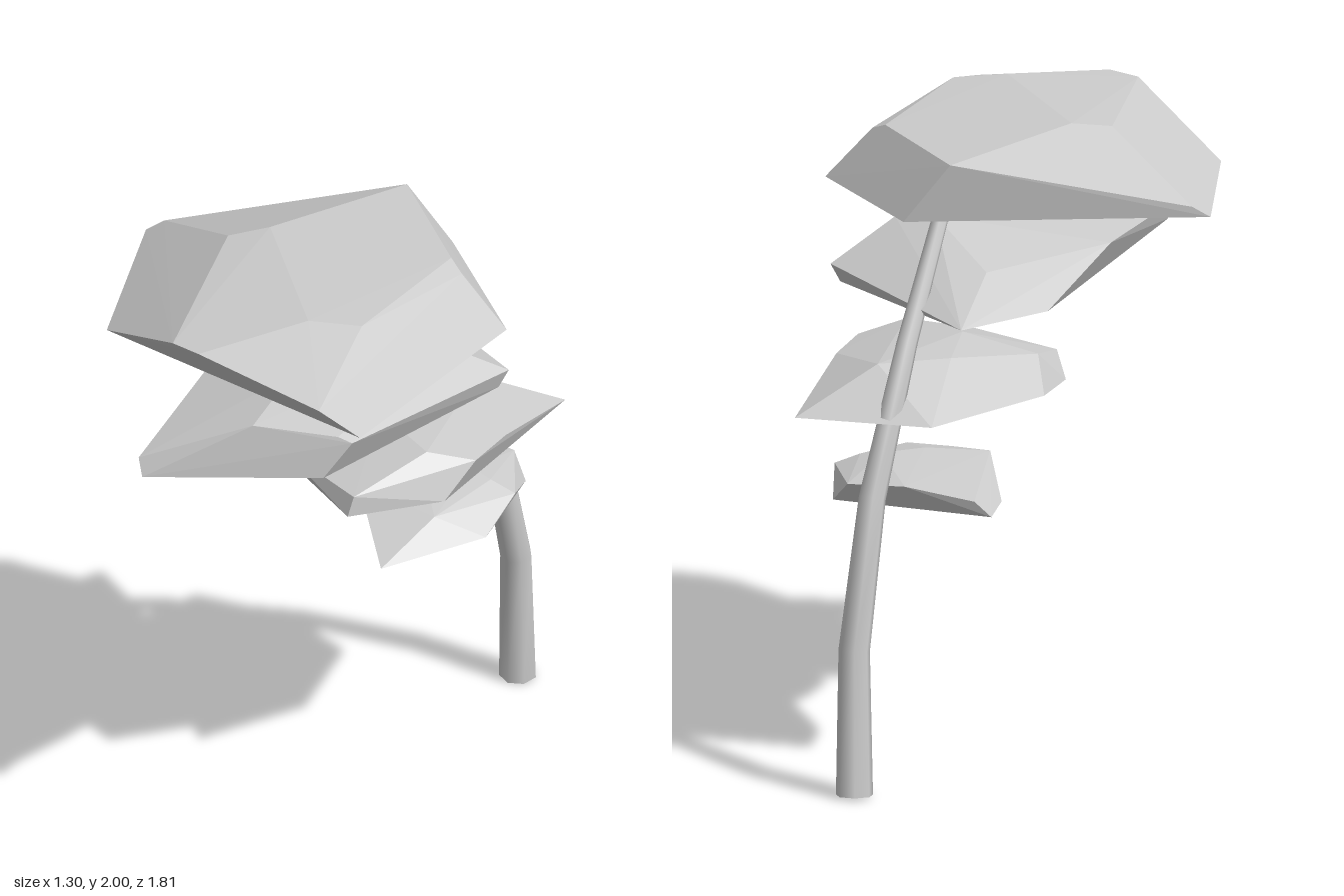
import * as THREE from 'three';
import { ConvexGeometry } from 'three/addons/geometries/ConvexGeometry.js';
import { toCreasedNormals } from 'three/addons/utils/BufferGeometryUtils.js';

const grey = new THREE.MeshStandardMaterial({ color: 0xcccccc });
const facetedGrey = new THREE.MeshStandardMaterial({ color: 0xcccccc, flatShading: true });

// Faceted foliage pad: flat base outline [x, z] at height y, plus upper corners [x, y, z]
function foliagePad(name, y, base, upper) {
  const points = base.map(([x, z]) => new THREE.Vector3(x, y, z));
  upper.forEach((p) => points.push(new THREE.Vector3(...p)));
  const mesh = new THREE.Mesh(new ConvexGeometry(points), facetedGrey);
  mesh.name = name;
  return mesh;
}

// Bent, tapering trunk: each cylinder ring is moved onto a station [x, y, z, radius]
function trunk() {
  const stations = [
    [0.175, 0.008, -0.85, 0.06],
    [0.195, 0.47, -0.81, 0.051],
    [0.188, 0.94, -0.692, 0.044],
    [0.165, 1.4, -0.485, 0.034],
    [0.16, 1.785, -0.23, 0.026],
  ];
  const centres = stations.map(([x, y, z]) => new THREE.Vector3(x, y, z));
  const last = stations.length - 1;
  const geo = new THREE.CylinderGeometry(1, 1, last, 7, last);
  const pos = geo.attributes.position;
  const up = new THREE.Vector3(0, 1, 0);
  const v = new THREE.Vector3();
  for (let i = 0; i < pos.count; i++) {
    const k = Math.round(pos.getY(i) + last / 2);
    const along = centres[Math.min(k + 1, last)].clone().sub(centres[Math.max(k - 1, 0)]).normalize();
    const turn = new THREE.Quaternion().setFromUnitVectors(up, along);
    v.set(pos.getX(i), 0, pos.getZ(i)).multiplyScalar(stations[k][3]).applyQuaternion(turn).add(centres[k]);
    pos.setXYZ(i, v.x, Math.max(v.y, 0), v.z);
  }
  const mesh = new THREE.Mesh(toCreasedNormals(geo, 1.1), grey);
  mesh.name = 'trunk';
  return mesh;
}

export function createModel() {
  const group = new THREE.Group();
  group.name = 'tree';
  group.add(trunk());

  // Crown
  group.add(foliagePad('topFoliage', 1.78,
    [[-0.65, 0.03], [-0.4, 0.63], [0.645, 0.76], [0.65, -0.07], [0.2, -0.44]],
    [[0.1, 1.96, 0.86], [0.55, 1.89, 0.85], [-0.01, 1.955, 0.84], [-0.22, 1.98, 0.21],
      [-0.12, 2, 0.12], [0.31, 2, 0.55], [0.46, 1.99, 0.47], [0.5, 1.95, -0.04],
      [0.44, 1.975, -0.07], [0.06, 1.97, -0.39], [-0.6, 1.815, 0]]));

  // Long pad below the crown
  group.add(foliagePad('upperFoliage', 1.48,
    [[-0.08, 0.91], [0.4, 0.6], [0.54, -0.19], [-0.05, -0.54], [-0.2, -0.22]],
    [[-0.1, 1.54, 0.9], [0.47, 1.6, 0.54], [0.43, 1.62, 0.56], [0.565, 1.54, -0.21],
      [-0.22, 1.6, 0.2], [0, 1.59, -0.25], [0.42, 1.67, -0.04], [0.28, 1.69, -0.04],
      [0.15, 1.685, 0.4], [0.2, 1.655, 0.7]]));

  // Middle pad
  group.add(foliagePad('middleFoliage', 1.17,
    [[0.3, 0.31], [0.5, 0.06], [0.46, -0.69], [0.02, -0.61], [-0.14, -0.12], [-0.12, 0.08]],
    [[0.31, 1.235, 0.29], [0.54, 1.275, -0.06], [0.52, 1.265, -0.26], [-0.05, 1.24, 0.16],
      [-0.08, 1.28, -0.04], [0.17, 1.33, -0.07], [0.42, 1.315, 0.04], [0.28, 1.31, -0.46],
      [0.1, 1.31, -0.3]]));

  // Lowest pad
  group.add(foliagePad('lowerFoliage', 0.89,
    [[0.3, 0.12], [0.465, -0.23], [0.37, -0.6], [-0.17, -0.57], [-0.12, -0.39]],
    [[-0.12, 0.94, -0.59], [0.3, 0.96, -0.64], [0.1, 0.975, -0.64], [0.45, 0.955, -0.42],
      [0.37, 0.99, -0.4], [0.29, 1.005, -0.41], [0.2, 1, -0.28], [0.03, 0.98, -0.16],
      [0.33, 0.965, -0.14]]));

  return group;
}
